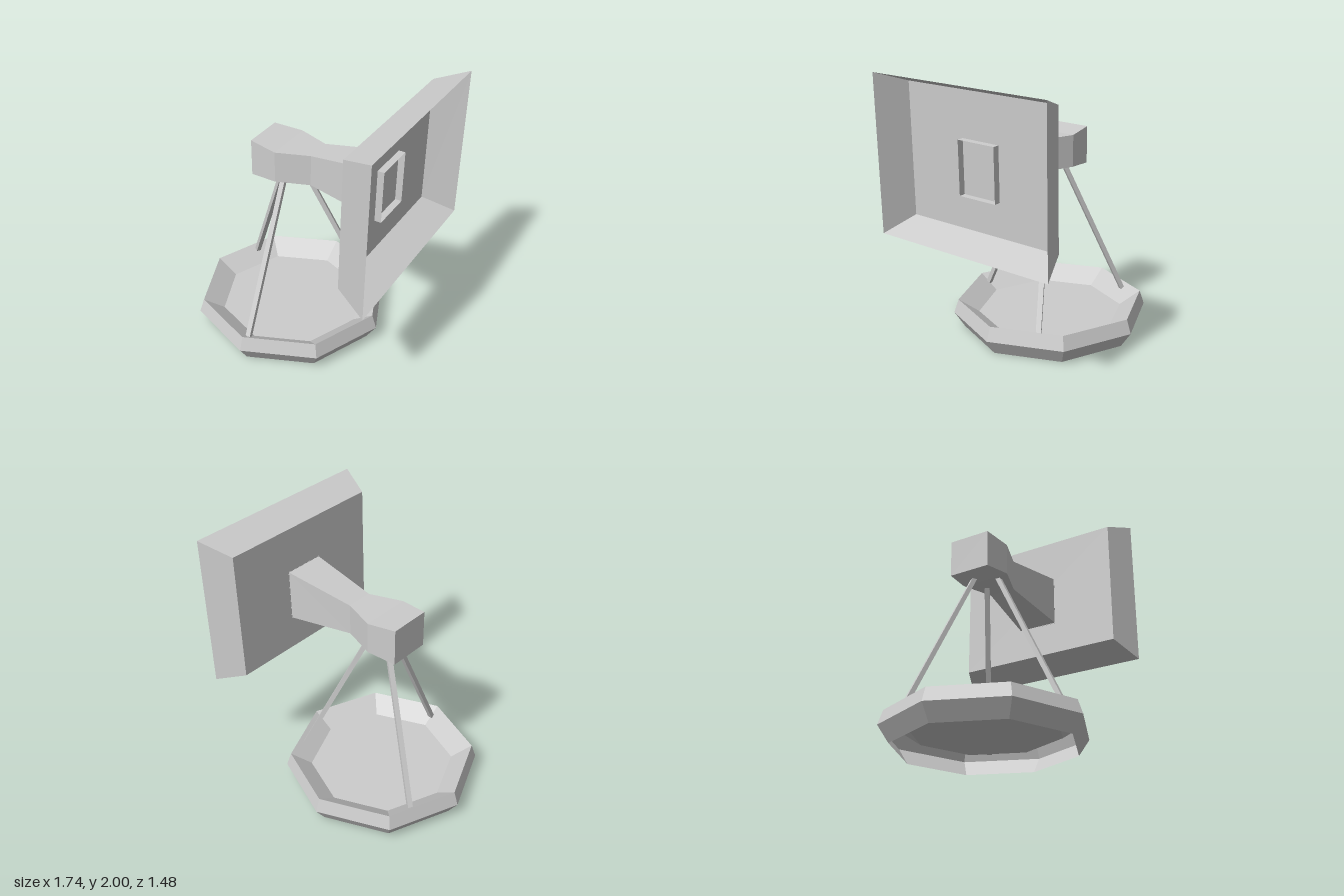
import * as THREE from 'three';

const grey = new THREE.MeshStandardMaterial({ color: 0xcccccc, flatShading: true, side: THREE.DoubleSide });
grey.name = 'light grey';

// Four-sided loft along x; each section is [xBottom, xTop, yBottom, yTop, halfWidth]
function loft(sections, capStart, capEnd) {
  const rings = sections.map(([xb, xt, yb, yt, h]) => [[xb, yb, h], [xb, yb, -h], [xt, yt, -h], [xt, yt, h]]);
  const pos = [];
  const quad = (a, b, c, d) => pos.push(...a, ...b, ...c, ...a, ...c, ...d);
  for (let s = 0; s < rings.length - 1; s++) {
    for (let i = 0; i < 4; i++) {
      const j = (i + 1) % 4;
      quad(rings[s][i], rings[s][j], rings[s + 1][j], rings[s + 1][i]);
    }
  }
  if (capStart) quad(...[...rings[0]].reverse());
  if (capEnd) quad(...rings[rings.length - 1]);
  const g = new THREE.BufferGeometry();
  g.setAttribute('position', new THREE.Float32BufferAttribute(pos, 3));
  g.computeVertexNormals();
  return g;
}

function part(name, geometry, parent) {
  const m = new THREE.Mesh(geometry, grey);
  m.name = name;
  parent.add(m);
  return m;
}

export function createModel() {
  const model = new THREE.Group();
  model.name = 'hornOnTripod';

  const stand = new THREE.Group();
  stand.name = 'stand';
  stand.position.x = -0.135;
  model.add(stand);

  // Octagonal tray: thin shell, open underneath, with a raised floor
  const profile = [[0.655, 0], [0.735, 0.12], [0.7, 0.225], [0.545, 0.12], [0, 0.12]];
  part('trayBase', new THREE.LatheGeometry(profile.map(([r, y]) => new THREE.Vector2(r, y)), 8), stand);

  // Three slanted legs with level ends
  const yLow = 0.155, yHigh = 1.26, rLow = 0.628, rHigh = 0.105;
  const legGeo = new THREE.BoxGeometry(0.037, yHigh - yLow, 0.036);
  legGeo.translate(0, (yHigh + yLow) / 2, 0);
  const p = legGeo.attributes.position;
  for (let i = 0; i < p.count; i++) {
    const t = (p.getY(i) - yLow) / (yHigh - yLow);
    p.setZ(i, p.getZ(i) + rLow + (rHigh - rLow) * t);
  }
  legGeo.computeVertexNormals();
  ['frontLeg', 'backLeftLeg', 'backRightLeg'].forEach((name, i) => {
    part(name, legGeo, stand).rotation.y = (i * Math.PI * 2) / 3;
  });

  // Waisted body flaring towards the panel
  part('body', loft([
    [-0.37, -0.37, 1.255, 1.53, 0.155],
    [-0.155, -0.155, 1.275, 1.51, 0.187],
    [0.085, 0.085, 1.275, 1.51, 0.1],
    [0.618, 0.624, 1.2, 1.585, 0.153],
  ], true, false), model);

  // Flared rectangular dish, slightly tilted, open on its outer side
  part('dish', loft([
    [0.615, 0.63, 0.945, 1.92, 0.645],
    [0.85, 0.867, 0.845, 2.0, 0.74],
  ], true, false), model);

  // Short open collar in the middle of the dish
  part('collar', loft([
    [0.618, 0.624, 1.195, 1.588, 0.157],
    [0.668, 0.674, 1.194, 1.587, 0.157],
  ], false, false), model);

  return model;
}
